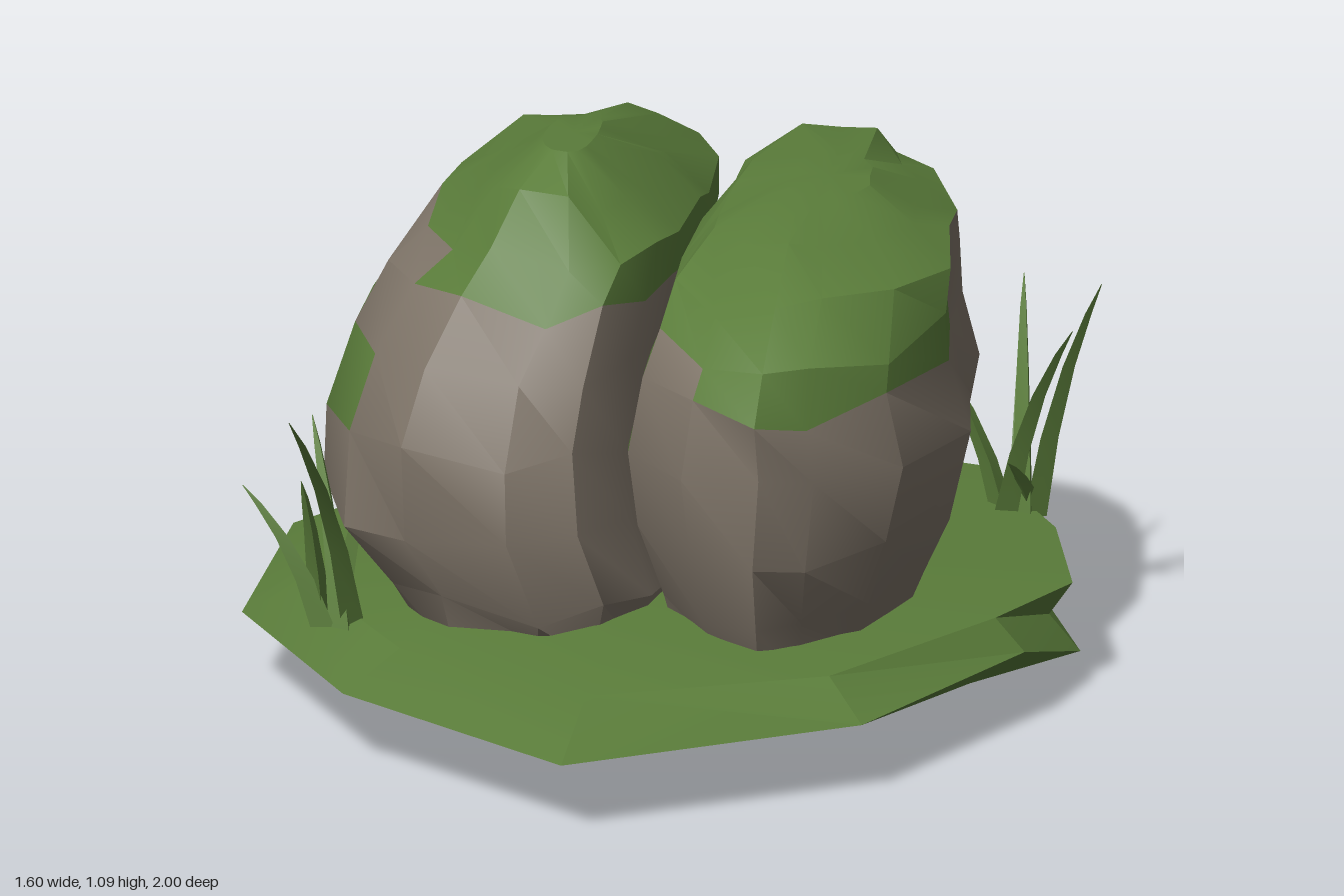
import * as THREE from 'three';
import { toCreasedNormals } from 'three/addons/utils/BufferGeometryUtils.js';

const green = new THREE.MeshStandardMaterial({ color: 0x5a7c3a });
green.name = 'moss green';
const stone = new THREE.MeshStandardMaterial({ color: 0x7d7367 });
stone.name = 'stone grey';
const V = (x, y, z) => new THREE.Vector3(x, y, z);

function seeded(seed) {
  return () => {
    seed = (seed * 16807) % 2147483647;
    return seed / 2147483647;
  };
}

const middle = (ring) =>
  ring.reduce((sum, p) => sum.add(p), V(0, 0, 0)).divideScalar(ring.length);

// Skins rings from bottom to top; faces passing isMoss go in the second material group.
function loft(rings, crease, isMoss = () => false, low = middle(rings[0]), high = middle(rings.at(-1))) {
  const faces = [[], []];
  const add = (...points) => {
    const moss = isMoss(middle(points)) ? 1 : 0;
    for (let k = 2; k < points.length; k++) faces[moss].push(points[0], points[k - 1], points[k]);
  };
  const n = rings[0].length, last = rings.at(-1);
  for (let j = 0; j < n; j++) {
    const k = (j + 1) % n;
    add(low, rings[0][j], rings[0][k]);
    for (let i = 0; i + 1 < rings.length; i++) {
      add(rings[i][j], rings[i + 1][j], rings[i + 1][k], rings[i][k]);
    }
    add(high, last[k], last[j]);
  }
  let geometry = new THREE.BufferGeometry().setFromPoints(faces.flat());
  geometry = toCreasedNormals(geometry, crease);
  geometry.clearGroups();
  geometry.addGroup(0, faces[0].length, 0);
  geometry.addGroup(faces[0].length, faces[1].length, 1);
  return geometry;
}

// Boulder from a plan outline (-1..1) fitted to levels: y, min x, max x, min z, max z
function boulder(name, plan, levels, seed, isMoss) {
  const random = seeded(seed);
  const rings = levels.map(([y, x0, x1, z0, z1], i) =>
    plan.map(([px, pz]) => {
      const r = 0.98 + 0.05 * random();
      const lift = i === levels.length - 1 ? 0 : (random() - 0.5) * 0.05;
      return V(
        (x0 + x1) / 2 + (x1 - x0) / 2 * px * r,
        y + lift,
        (z0 + z1) / 2 + (z1 - z0) / 2 * pz * r);
    }));
  const mesh = new THREE.Mesh(loft(rings, 0.5, isMoss), [stone, green]);
  mesh.name = name;
  return mesh;
}

// Flat mound with a sharp rim: x, z, upper scale, lower scale
function ground() {
  const outline = [
    [0.74, -0.14, 1.06, 1.08], [0.74, 0.11, 0.92, 0.85], [0.52, 0.63, 0.84, 0.7],
    [0, 0.995, 0.75, 0.6], [-0.5, 0.62, 0.82, 0.68], [-0.79, 0.14, 0.84, 0.73],
    [-0.8, -0.44, 0.82, 0.75], [-0.48, -0.88, 0.9, 0.85], [-0.23, -0.98, 0.96, 0.9],
    [0, -1, 0.98, 0.92], [0.49, -0.88, 0.97, 0.92], [0.7, -0.5, 0.98, 0.95],
  ];
  const scaled = (s, y) => outline.map(([x, z]) => V(x * s, y, z * s));
  const rings = [
    scaled(0.45, 0.015),
    outline.map(([x, z, , s]) => V(x * s, 0.065, z * s)),
    scaled(1, 0.14),
    outline.map(([x, z, s]) => V(x * s, 0.203, z * s)),
    scaled(0.45, 0.24),
  ];
  const mesh = new THREE.Mesh(
    loft(rings, 0.3, () => true, V(0, 0, -0.05), V(0, 0.25, 0)), [green, green]);
  mesh.name = 'ground';
  return mesh;
}

// Tuft of tapered blades bending outwards to the given tips
function grassTuft(name, base, tips) {
  const group = new THREE.Group();
  group.name = name;
  tips.forEach(([x, y, z], i) => {
    const turn = i * 2.4;
    const start = V(base[0] + 0.03 * Math.cos(turn), 0.19, base[1] + 0.03 * Math.sin(turn));
    const tip = V(x, y, z);
    const bend = start.clone().lerp(tip, 0.3).setY(0.19 + (y - 0.19) * 0.58);
    const curve = new THREE.QuadraticBezierCurve3(start, bend, tip);
    const rings = [0, 0.3, 0.6, 0.85, 1].map((t) => {
      const c = curve.getPoint(t), r = 0.026 * (1 - t) ** 0.7 + 0.001;
      return [0, 1, 2].map((k) => {
        const a = turn + (k * Math.PI * 2) / 3;
        return V(c.x + r * Math.cos(a), c.y, c.z + r * Math.sin(a));
      });
    });
    const blade = new THREE.Mesh(loft(rings, 0.5), green);
    blade.name = 'grassBlade';
    group.add(blade);
  });
  return group;
}

export function createModel() {
  const model = new THREE.Group();
  model.name = 'mossyBoulders';
  model.add(ground());

  // Tall boulder: mossy crown, bare strip below it, mossy patch on the outer side
  const tallPlan = [
    [1, 0], [0.98, 0.42], [0.9, 0.68], [0.68, 0.92], [0.3, 1], [-0.33, 0.92],
    [-0.72, 0.72], [-0.98, 0.38], [-1, 0], [-0.98, -0.3], [-0.86, -0.62], [-0.57, -0.82],
    [-0.2, -0.86], [0.27, -1], [0.7, -0.9], [0.92, -0.7], [0.98, -0.35],
  ];
  model.add(boulder('tallBoulder', tallPlan, [
    [0.18, -0.5, 0.03, -0.6, 0.42], [0.27, -0.55, 0.07, -0.68, 0.46],
    [0.41, -0.64, 0.03, -0.73, 0.49], [0.57, -0.635, 0.02, -0.74, 0.48],
    [0.71, -0.59, 0.02, -0.71, 0.42], [0.83, -0.52, 0.04, -0.66, 0.34],
    [0.92, -0.45, 0.05, -0.58, 0.26], [1.01, -0.35, -0.03, -0.45, 0.18],
    [1.085, -0.23, -0.13, -0.17, 0.07],
  ], 1731, ({ x, y, z }) => {
    if (z < -0.52) return x < -0.38 && y > 0.68 && y < 0.9;
    if (x < -0.4) return (y > 0.48 && y < 0.8 && z < 0.08) || (y > 0.6 && y < 0.7 && z < 0.28) || y > 0.94;
    return y > 0.83;
  }));

  // Low boulder: moss reaches further down at the front and inner side
  const lowPlan = [
    [0.98, 0.33], [0.74, 0.73], [0.28, 0.93], [-0.03, 1], [-0.5, 0.93], [-0.9, 0.7],
    [-1, 0.36], [-0.98, 0], [-0.95, -0.4], [-0.9, -0.68], [-0.65, -0.9], [-0.28, -1],
    [0.12, -0.9], [0.46, -0.68], [0.77, -0.38], [0.85, 0],
  ];
  model.add(boulder('lowBoulder', lowPlan, [
    [0.18, 0.07, 0.5, -0.66, 0.42], [0.27, 0.04, 0.54, -0.73, 0.46],
    [0.4, 0, 0.59, -0.76, 0.51], [0.56, -0.025, 0.635, -0.81, 0.53],
    [0.7, 0.01, 0.59, -0.8, 0.52], [0.79, 0.03, 0.58, -0.78, 0.48],
    [0.87, 0.04, 0.57, -0.74, 0.34], [0.93, 0.1, 0.48, -0.65, 0.14],
    [0.97, 0.22, 0.38, -0.4, -0.08],
  ], 9157, ({ x, y, z }) => {
    if (x < 0.2 && z > 0.3) return y > 0.78;
    if (x < 0.06 && z > 0.1) return y > 0.6;
    if (x < 0.22) return y > 0.7;
    if (z < -0.62) return y > 0.89;
    return y > (z > -0.05 ? 0.73 : 0.86);
  }));

  model.add(grassTuft('rightGrass', [-0.57, 0.33], [
    [-0.6, 0.69, 0.65], [-0.75, 0.46, 0.34], [-0.51, 0.46, 0.3],
    [-0.65, 0.55, 0.15], [-0.62, 0.5, 0.42],
  ]));
  model.add(grassTuft('leftGrass', [0.59, -0.6], [
    [0.77, 0.69, -0.52], [0.73, 0.62, -0.43], [0.56, 0.54, -0.82],
    [0.58, 0.64, -0.72], [0.42, 0.5, -0.63], [0.6, 0.34, -0.45],
  ]));
  return model;
}
